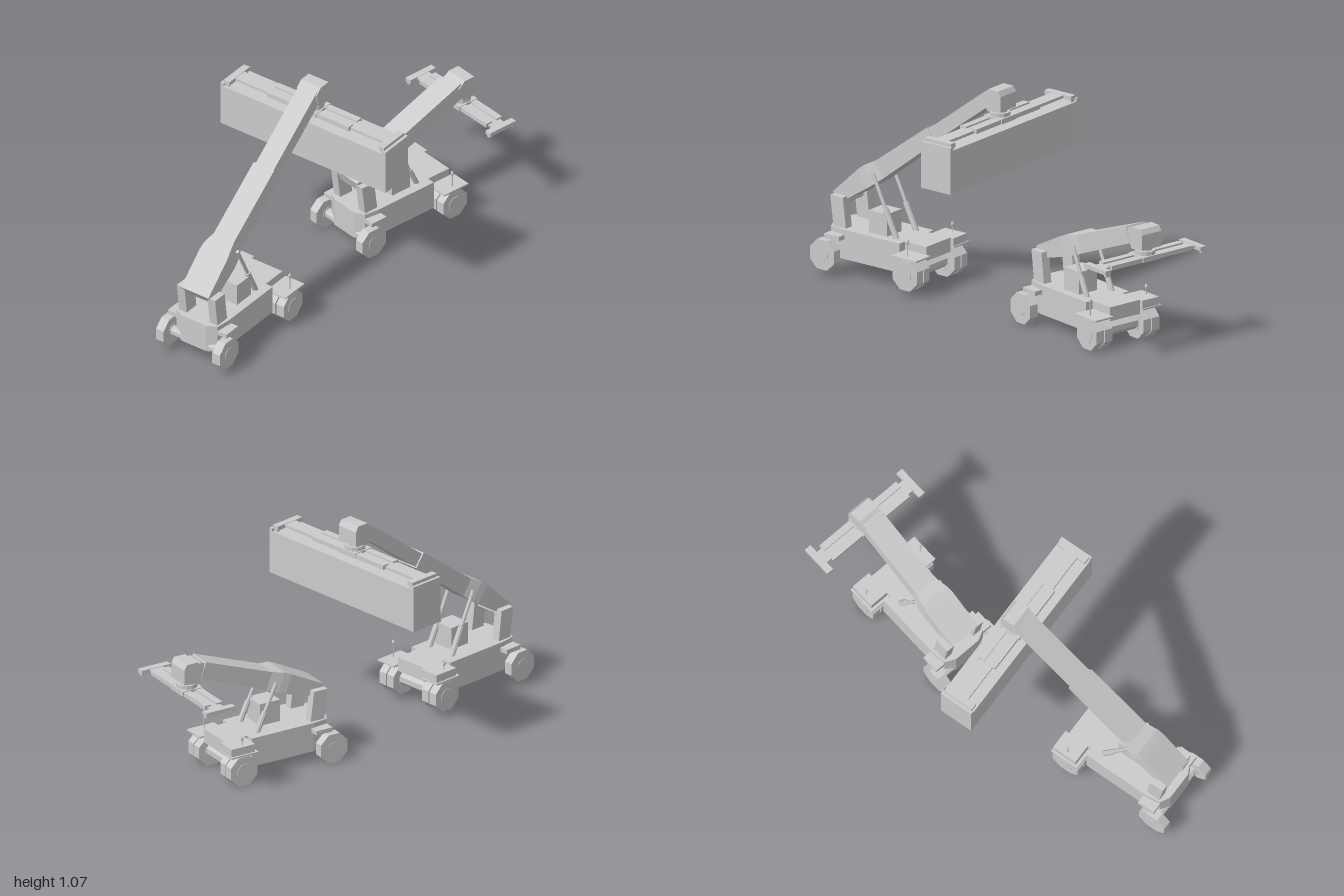
import * as THREE from 'three';

const mat = new THREE.MeshStandardMaterial({ color: 0xcccccc, flatShading: true, side: THREE.DoubleSide });

function add(parent, name, geo, x = 0, y = 0, z = 0) {
  const m = new THREE.Mesh(geo, mat);
  m.name = name;
  m.position.set(x, y, z);
  parent.add(m);
  return m;
}

// Box given by its limits on each axis
function block(parent, name, x0, x1, y0, y1, z0, z1) {
  return add(parent, name, new THREE.BoxGeometry(x1 - x0, y1 - y0, z1 - z0),
    (x0 + x1) / 2, (y0 + y1) / 2, (z0 + z1) / 2);
}

// Rectangular beam along z; each section is [z, halfWidth, top, bottom]
function beam(parent, name, sections) {
  const n = sections.length - 1;
  const g = new THREE.BoxGeometry(2, 1, n, 1, 1, n);
  const p = g.attributes.position;
  for (let i = 0; i < p.count; i++) {
    const [z, hw, top, bottom] = sections[Math.round(p.getZ(i) + n / 2)];
    p.setXYZ(i, p.getX(i) * hw, p.getY(i) > 0 ? top : bottom, z);
  }
  g.computeVertexNormals();
  return add(parent, name, g);
}

// Rod between two points
function rod(parent, name, a, b, r, sides = 8) {
  const d = b.clone().sub(a);
  const m = add(parent, name, new THREE.CylinderGeometry(r, r, d.length(), sides));
  m.position.copy(a).lerp(b, 0.5);
  m.quaternion.setFromUnitVectors(new THREE.Vector3(0, 1, 0), d.normalize());
  return m;
}

// Cylinder lying across the vehicle, octagonal with a flat underside
function crossCylinder(parent, name, r, width, x, y, z) {
  const g = new THREE.CylinderGeometry(r, r, width, 8);
  g.rotateY(Math.PI / 8).rotateZ(Math.PI / 2);
  return add(parent, name, g, x, y, z);
}

function polygon(points) {
  return new THREE.Shape(points.map(([x, y]) => new THREE.Vector2(x, y)));
}

function chassis(g) {
  // Main body with a faceted counterweight at the rear
  const plan = polygon([[-0.13, 0.42], [-0.13, 0.08], [-0.12, 0], [-0.07, -0.025],
    [0.07, -0.025], [0.12, 0], [0.13, 0.08], [0.13, 0.42]]);
  const body = new THREE.ExtrudeGeometry(plan, { depth: 0.145, bevelEnabled: false });
  body.rotateX(Math.PI / 2);
  add(g, 'body', body, 0, 0.2, 0);
  block(g, 'frontDeck', -0.09, 0.09, 0.13, 0.2, 0.42, 0.55);
  block(g, 'cab', -0.085, 0.025, 0.2, 0.31, 0.2, 0.31);
  block(g, 'toolBox', 0.09, 0.19, 0.155, 0.2, 0.44, 0.57);
  crossCylinder(g, 'rearAxle', 0.025, 0.3, 0, 0.075, 0);
  crossCylinder(g, 'frontAxle', 0.035, 0.3, 0, 0.08, 0.5);

  for (const s of [-1, 1]) {
    // Single steering wheels behind, twin drive wheels in front
    crossCylinder(g, 'rearWheel', 0.079, 0.045, s * 0.165, 0.073, 0);
    crossCylinder(g, 'rearHub', 0.035, 0.05, s * 0.165, 0.073, 0);
    for (const x of [0.117, 0.168]) crossCylinder(g, 'frontWheel', 0.079, 0.045, s * x, 0.073, 0.5);
    crossCylinder(g, 'frontHub', 0.04, 0.1, s * 0.143, 0.073, 0.5);
    add(g, 'frontFender', new THREE.BoxGeometry(0.11, 0.008, 0.15), s * 0.145, 0.157, 0.5);
    add(g, 'rearFender', new THREE.BoxGeometry(0.055, 0.022, 0.09), s * 0.145, 0.165, 0.045);

    // Mirror mast
    add(g, 'mirrorMast', new THREE.CylinderGeometry(0.003, 0.003, 0.085, 6), s * 0.17, 0.2, 0.5);
    const mirror = add(g, 'mirror', new THREE.SphereGeometry(0.008, 8, 6), s * 0.17, 0.235, 0.5);
    mirror.scale.y = 1.7;

    // Leaning tower that carries the boom pivot
    const side = polygon([[0.01, 0.19], [0.085, 0.19], [0.065, 0.35], [-0.01, 0.35]]);
    const tower = new THREE.ExtrudeGeometry(side, { depth: 0.045, bevelEnabled: false });
    tower.rotateY(-Math.PI / 2);
    add(g, 'boomTower', tower, s * 0.09 + 0.0225, 0, 0);
  }
  crossCylinder(g, 'boomPivot', 0.018, 0.2, 0, 0.32, 0.03);
}

function spreader(g, z, y, half) {
  // Fixed centre frame, two sliding arms and an end bar on each
  block(g, 'spreaderFrame', -0.055, 0.055, y, y + 0.025, z - 0.055, z + 0.055);
  const frame = Math.min(0.24, half - 0.06);
  for (const s of [-1, 1]) {
    add(g, 'spreaderRail', new THREE.BoxGeometry(frame * 2, 0.022, 0.035), 0, y + 0.011, z + s * 0.032);
    add(g, 'spreaderArm', new THREE.BoxGeometry(half, 0.014, 0.07), s * half / 2, y + 0.007, z);
    add(g, 'spreaderEndBar', new THREE.BoxGeometry(0.034, 0.02, 0.16), s * (half - 0.017), y + 0.006, z);
    for (const t of [-1, 1]) {
      add(g, 'twistLock', new THREE.BoxGeometry(0.02, 0.02, 0.015), s * (half - 0.017), y - 0.006, z + t * 0.07);
    }
  }
}

function container(g, z, y0, y1) {
  const L = 0.485, W = 0.088, rim = 0.015;
  block(g, 'containerBody', -L, L, y0, y1 - rim, z - W, z + W);
  for (const s of [-1, 1]) {
    add(g, 'containerEndRim', new THREE.BoxGeometry(0.018, rim, W * 2), s * (L - 0.009), y1 - rim / 2, z);
  }
}

// angle: boom lift, length: boom reach, headZ/headTop: nose position, half: half span of the spreader
function stacker(name, { angle, length, headZ, headTop, half }) {
  const g = new THREE.Group();
  g.name = name;
  chassis(g);

  // Telescopic boom
  const boom = new THREE.Group();
  boom.name = 'boom';
  boom.position.set(0, 0.33, 0);
  boom.rotation.x = -angle;
  g.add(boom);
  beam(boom, 'outerBoom', [[0, 0.08, 0.033, -0.03], [0.2, 0.08, 0.055, -0.045],
    [0.24, 0.075, 0.057, -0.046], [0.3, 0.06, 0.045, -0.046], [0.69, 0.06, 0.042, -0.04]]);
  beam(boom, 'innerBoom', [[0.3, 0.052, 0.034, -0.034], [length, 0.052, 0.034, -0.034]]);

  // Lift cylinders
  const c = Math.cos(angle), sn = Math.sin(angle);
  for (const s of [-1, 1]) {
    const low = new THREE.Vector3(s * 0.075, 0.13, 0.39);
    const high = new THREE.Vector3(s * 0.075, 0.33 + 0.27 * sn, 0.27 * c);
    rod(g, 'liftCylinder', low, low.clone().lerp(high, 0.55), 0.014);
    rod(g, 'liftPiston', low, high, 0.009);
  }

  // Drooping nose with the turntable below it
  const nose = polygon([[-0.06, -0.03], [-0.025, 0], [0.035, 0], [0.05, -0.025],
    [0.05, -0.1], [-0.03, -0.11], [-0.045, -0.08]]);
  const head = new THREE.ExtrudeGeometry(nose, { depth: 0.116, bevelEnabled: false });
  head.rotateY(-Math.PI / 2);
  add(g, 'boomHead', head, 0.058, headTop, headZ);
  add(g, 'turntable', new THREE.CylinderGeometry(0.05, 0.05, 0.024, 12), 0, headTop - 0.128, headZ);
  add(g, 'turntableNeck', new THREE.CylinderGeometry(0.035, 0.035, 0.05, 12), 0, headTop - 0.115, headZ);
  spreader(g, headZ, headTop - 0.16, half);
  return g;
}

export function createModel() {
  const model = new THREE.Group();
  model.name = 'reachStackers';

  // Raised stacker holding a container
  const raised = stacker('raisedStacker',
    { angle: 0.645, length: 1.12, headZ: 0.92, headTop: 1.045, half: 0.47 });
  container(raised, 0.92, 0.655, 0.885);
  raised.position.set(-0.57, 0.03, 0.85);
  raised.rotation.y = Math.PI - THREE.MathUtils.degToRad(30);

  // Lowered stacker with an empty spreader
  const lowered = stacker('loweredStacker',
    { angle: 0.366, length: 0.715, headZ: 0.7, headTop: 0.625, half: 0.305 });
  lowered.position.set(0.02, 0, -0.21);
  lowered.rotation.y = Math.PI - THREE.MathUtils.degToRad(42.5);

  model.add(raised, lowered);
  return model;
}
